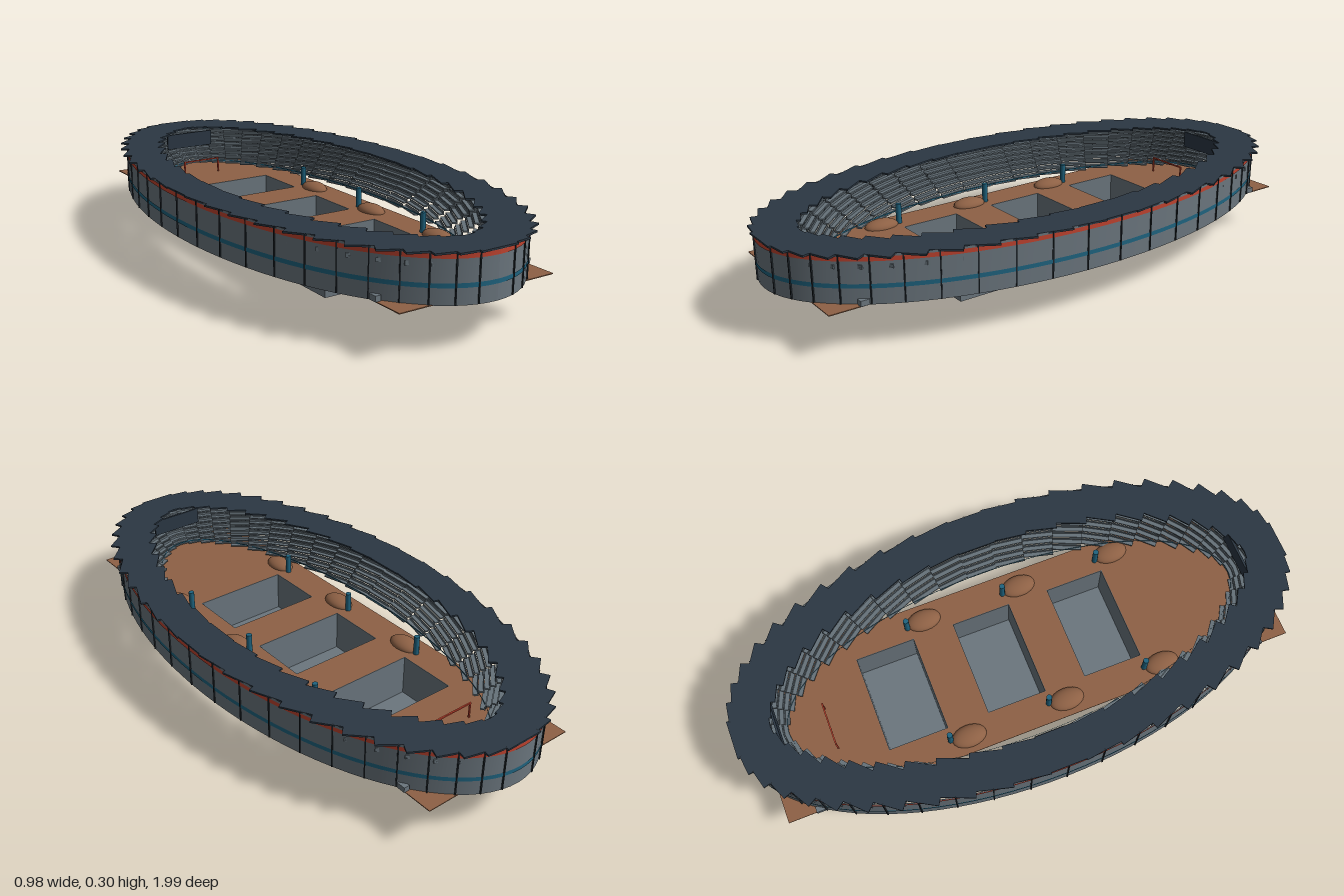
import * as THREE from 'three';
import { mergeGeometries } from 'three/addons/utils/BufferGeometryUtils.js';

const RX = 0.483, RZ = 0.995, N = 48;     // outer ellipse and number of bays
const BASE = 0.148, TOP = 0.304;

const paint = (color, side = THREE.FrontSide) => new THREE.MeshStandardMaterial({ color, side });
const grey = paint(0x6b767e, THREE.DoubleSide);
const navy = paint(0x2b3743);
const blue = paint(0x1f6480, THREE.DoubleSide);
const red = paint(0xc0432f, THREE.DoubleSide);
const brown = paint(0x8e6145, THREE.DoubleSide);
const dark = paint(0x20272d);
const seatGrey = paint(0x66727a);

function add(parent, name, geometry, material, x = 0, y = 0, z = 0) {
  const mesh = new THREE.Mesh(geometry, material);
  mesh.name = name;
  mesh.position.set(x, y, z);
  parent.add(mesh);
  return mesh;
}

// Elliptical open band between two heights, inset from the outer ellipse
function band(inset, y0, y1) {
  const g = new THREE.CylinderGeometry(1, 1, y1 - y0, N * 2, 1, true);
  g.scale(RX - inset, 1, RZ - inset);
  g.translate(0, (y0 + y1) / 2, 0);
  g.computeVertexNormals();
  return g;
}

// One box per bay, each turned by the bay's angle so that the ends step like saw teeth
function ringOfBoxes(inset, y, width, height, depth, skip = () => false) {
  const boxes = [];
  for (let i = 0; i < N; i++) {
    if (skip(i)) continue;
    const a = (i / N) * Math.PI * 2;
    const g = new THREE.BoxGeometry(width, height, depth);
    g.rotateY(a);
    g.translate(Math.sin(a) * (RX - inset), y, Math.cos(a) * (RZ - inset));
    boxes.push(g);
  }
  return mergeGeometries(boxes);
}

function rect(path, x0, y0, x1, y1) {
  path.moveTo(x0, y0);
  path.lineTo(x1, y0);
  path.lineTo(x1, y1);
  path.lineTo(x0, y1);
  path.closePath();
  return path;
}

export function createModel() {
  const model = new THREE.Group();
  model.name = 'arena';

  // Outer wall with coloured stripes and panel joints
  add(model, 'outerWall', band(0, BASE - 0.002, TOP), grey);
  add(model, 'redStripe', band(-0.002, 0.283, 0.297), red);
  add(model, 'blueStripe', band(-0.002, 0.198, 0.212), blue);
  add(model, 'panelJoints',
    ringOfBoxes(0, (BASE + TOP) / 2, 0.004, TOP - BASE, 0.008, i => i % 24 === 0), dark);

  // Roof ring
  add(model, 'roof', ringOfBoxes(0.063, TOP - 0.003, 0.135, 0.006, 0.13), navy);

  // Seating tiers, rising from the inner edge to the wall
  const rows = 8;
  for (let r = 0; r < rows; r++) {
    const t = r / (rows - 1);
    const inset = 0.155 - t * 0.125;
    const y = 0.162 + t * 0.1;
    const width = 0.11 + t * 0.018;
    add(model, 'seatTier', ringOfBoxes(inset, y, width, 0.005, 0.018), seatGrey);
    add(model, 'seatBack', ringOfBoxes(inset - 0.007, y + 0.006, width, 0.009, 0.003), seatGrey);
  }
  add(model, 'lowerRail', band(0.166, 0.166, 0.171), blue);
  add(model, 'upperRail', band(0.035, 0.277, 0.283), blue);

  // Floor with three rectangular openings and a pit under each
  const pitX = 0.177, pitHalf = 0.108, pitZ = [0.302, -0.06, -0.423];
  const floor = rect(new THREE.Shape(), -0.29, -0.925, 0.29, 0.925);
  for (const z of pitZ) {
    floor.holes.push(rect(new THREE.Path(), -pitX, -z - pitHalf, pitX, -z + pitHalf));
  }
  const floorGeometry = new THREE.ExtrudeGeometry(floor, { depth: 0.003, bevelEnabled: false });
  floorGeometry.rotateX(-Math.PI / 2);
  add(model, 'floor', floorGeometry, brown, 0, BASE - 0.003, 0);

  for (const z of pitZ) {
    const pit = new THREE.Group();
    pit.name = 'pit';
    pit.position.z = z;
    model.add(pit);
    add(pit, 'pitBottom', new THREE.BoxGeometry(pitX * 2, 0.002, pitHalf * 2), grey, 0, 0.001, 0);
    for (const s of [-1, 1]) {
      add(pit, 'pitSide', new THREE.BoxGeometry(0.002, BASE, pitHalf * 2), grey, s * (pitX - 0.001), BASE / 2, 0);
      add(pit, 'pitEnd', new THREE.BoxGeometry(pitX * 2, BASE, 0.002), grey, 0, BASE / 2, s * (pitHalf - 0.001));
    }
    // Blue posts and low mounds beside each pit
    for (const s of [-1, 1]) {
      add(pit, 'post', new THREE.CylinderGeometry(0.01, 0.01, 0.07, 12), blue, s * 0.222, BASE + 0.035, 0.1);
      const mound = new THREE.SphereGeometry(1, 20, 8, 0, Math.PI * 2, 0, Math.PI / 2);
      mound.scale(0.04, 0.025, 0.062);
      add(pit, 'mound', mound, brown, s * 0.23, BASE, 0.165);
    }
  }

  // Display boards at both ends, under the roof
  for (const s of [-1, 1]) {
    add(model, 'displayBoard', new THREE.BoxGeometry(0.2, 0.06, 0.008), navy, 0, 0.255, s * 0.852);
  }

  // Red bar on two legs at the back
  add(model, 'barrierBar', new THREE.BoxGeometry(0.155, 0.005, 0.005), red, -0.03, 0.205, -0.69);
  for (const s of [-1, 1]) {
    add(model, 'barrierLeg', new THREE.BoxGeometry(0.005, 0.055, 0.005), red, -0.03 + s * 0.075, 0.177, -0.69);
  }

  // Small gates where the wall crosses the floor edge
  for (const sx of [-1, 1]) for (const sz of [-1, 1]) {
    add(model, 'gate', new THREE.BoxGeometry(0.02, 0.018, 0.03), grey, sx * 0.285, BASE + 0.009, sz * 0.81);
  }
  return model;
}
